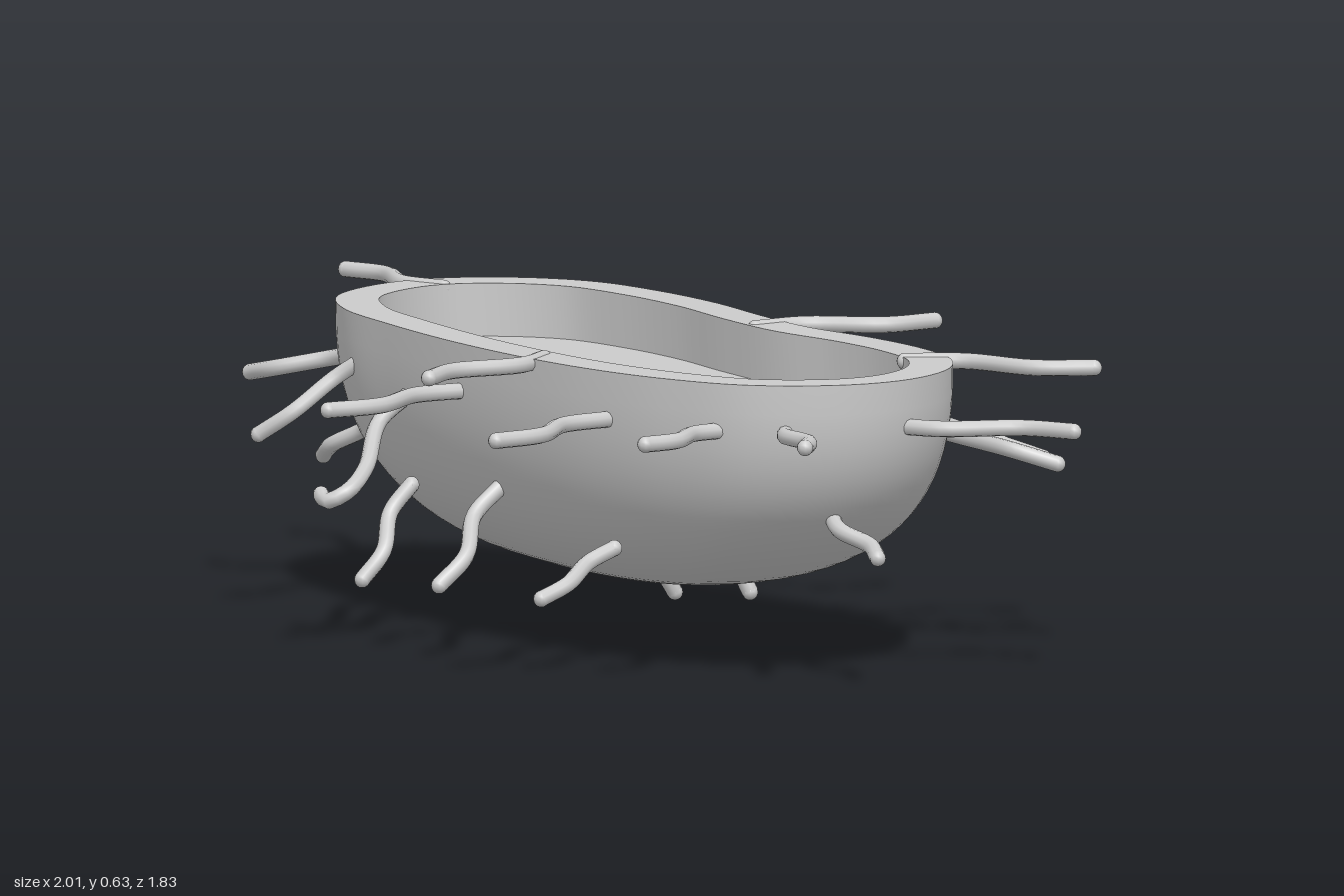
import * as THREE from 'three';

const material = new THREE.MeshStandardMaterial({ color: 0xcccccc });
const SEGMENTS = 120, RIM_Y = 0.63, FLOOR_Y = 0.52, BASE_Y = 0.13, RIM_WIDTH = 0.09;
const CENTER = [-0.05, -0.05];

// Bean-shaped outline, as x, z pairs
const OUTLINE = [
  [-0.48, -0.74], [-0.32, -0.72], [-0.16, -0.62], [0, -0.475], [0.14, -0.31], [0.27, -0.175],
  [0.43, -0.06], [0.565, 0.065], [0.66, 0.2], [0.69, 0.36], [0.645, 0.52], [0.54, 0.625],
  [0.35, 0.675], [0.165, 0.625], [-0.025, 0.52], [-0.21, 0.375], [-0.4, 0.19],
  [-0.585, -0.025], [-0.72, -0.21], [-0.78, -0.4], [-0.735, -0.58], [-0.64, -0.69],
];
const outline = new THREE.CatmullRomCurve3(OUTLINE.map(([x, z]) => new THREE.Vector3(x, 0, z)), true);

// Outline ring at height y, moved inward by inset and scaled toward the centre
function ring(y, inset = 0, scale = 1) {
  return Array.from({ length: SEGMENTS }, (_, i) => {
    const p = outline.getPointAt(i / SEGMENTS), t = outline.getTangentAt(i / SEGMENTS);
    const x = p.x - t.z * inset, z = p.z + t.x * inset;
    return [CENTER[0] + (x - CENTER[0]) * scale, y, CENTER[1] + (z - CENTER[1]) * scale];
  });
}

// Smooth skin over a stack of closed rings
function loft(name, rings) {
  const index = [];
  for (let r = 0; r < rings.length - 1; r++) {
    for (let i = 0; i < SEGMENTS; i++) {
      const a = r * SEGMENTS + i, b = r * SEGMENTS + (i + 1) % SEGMENTS;
      index.push(a, b, a + SEGMENTS, b, b + SEGMENTS, a + SEGMENTS);
    }
  }
  const geometry = new THREE.BufferGeometry();
  geometry.setAttribute('position', new THREE.Float32BufferAttribute(rings.flat(2), 3));
  geometry.setIndex(index);
  geometry.computeVertexNormals();
  const mesh = new THREE.Mesh(geometry, material);
  mesh.name = name;
  return mesh;
}

// Round-ended tube through points
function tube(name, points) {
  const radius = 0.017, group = new THREE.Group();
  group.name = name;
  const stem = new THREE.Mesh(
    new THREE.TubeGeometry(new THREE.CatmullRomCurve3(points), 20, radius, 10), material);
  stem.name = 'hairStem';
  group.add(stem);
  for (const end of [points[0], points[points.length - 1]]) {
    const cap = new THREE.Mesh(new THREE.SphereGeometry(radius, 10, 8), material);
    cap.name = 'hairEnd';
    cap.position.copy(end);
    group.add(cap);
  }
  return group;
}

// Hair with a sideways S-bend in proportion to its length
function wavyHair(name, root, tip, bend) {
  const along = tip.clone().sub(root);
  const side = new THREE.Vector3(-along.z, 0, along.x).setLength(along.length() * bend);
  const at = (t, k) => root.clone().addScaledVector(along, t).addScaledVector(side, k);
  return tube(name, [root, at(0.3, 1), at(0.7, -1), tip]);
}

// Level hairs, a row per height: root x, z, tip x, z
const LEVEL_ROWS = [
  { name: 'rimHair', y: 0.62, bend: -0.075, hairs: [
    [-0.61, -0.62, -0.87, -0.84], [-0.17, 0.32, -0.33, 0.66],
    [0.15, -0.2, 0.48, -0.4], [0.56, 0.19, 0.96, 0.19],
  ] },
  { name: 'sideHair', y: 0.53, bend: 0.07, hairs: [
    [0.6, 0.49, 0.99, 0.49], [0.42, 0.62, 0.51, 0.85], [0.29, 0.64, 0.18, 0.88],
    [0.02, 0.54, -0.13, 0.9], [-0.36, 0.2, -0.57, 0.55], [-0.37, -0.66, -0.32, -0.85],
  ] },
];

// Drooping hairs: root x, y, z, tip x, y, z
const DROOPING = [
  // right-hand end
  [-0.74, 0.51, -0.4, -0.99, 0.45, -0.5], [-0.66, 0.54, -0.18, -0.875, 0.38, -0.1],
  [-0.7, 0.38, -0.38, -0.84, 0.28, -0.52], [-0.64, 0.38, -0.6, -0.67, 0.39, -0.9],
  // front flank
  [-0.53, 0.3, -0.01, -0.6, 0.12, 0.13], [-0.28, 0.34, 0.24, -0.36, 0.16, 0.45],
  [0.01, 0.25, 0.45, -0.11, 0.16, 0.59], [0.49, 0.34, 0.53, 0.62, 0.28, 0.67],
  // belly
  [-0.13, 0.24, -0.42, -0.1, 0.02, -0.53], [0.05, 0.25, -0.31, 0.1, 0.05, -0.36],
  // back flank
  [0.4, 0.52, -0.02, 0.74, 0.36, -0.28], [0.52, 0.49, 0.1, 0.82, 0.38, -0.07],
  [0.22, 0.39, -0.13, 0.39, 0.3, -0.29], [0.07, 0.55, -0.32, 0.21, 0.46, -0.54],
  [-0.04, 0.45, -0.47, 0.075, 0.26, -0.74], [-0.2, 0.53, -0.58, -0.06, 0.42, -0.82],
];

export function createModel() {
  const model = new THREE.Group();
  model.name = 'openCell';

  // Rounded outer shell following a superellipse down to the belly
  const shellRings = [], power = 2 / 2.6;
  for (let i = 0; i <= 24; i++) {
    const a = (i / 24) * Math.PI / 2;
    const scale = Math.max(Math.cos(a), 1e-5) ** power;
    shellRings.push(ring(RIM_Y - (RIM_Y - BASE_Y) * Math.sin(a) ** power, 0, scale));
  }
  model.add(loft('outerShell', shellRings));

  // Flat rim, cavity wall and floor
  model.add(loft('rim', [ring(RIM_Y, RIM_WIDTH), ring(RIM_Y)]));
  model.add(loft('cavityWall', [ring(FLOOR_Y, RIM_WIDTH), ring(RIM_Y, RIM_WIDTH)]));
  model.add(loft('cavityFloor', [ring(FLOOR_Y, RIM_WIDTH, 1e-4), ring(FLOOR_Y, RIM_WIDTH)]));

  // Hairs around the body
  for (const { name, y, bend, hairs } of LEVEL_ROWS) {
    hairs.forEach(([x0, z0, x1, z1], i) => model.add(wavyHair(
      name + (i + 1), new THREE.Vector3(x0, y, z0), new THREE.Vector3(x1, y, z1), bend)));
  }
  DROOPING.forEach((h, i) => model.add(wavyHair(
    'droopingHair' + (i + 1), new THREE.Vector3(...h.slice(0, 3)), new THREE.Vector3(...h.slice(3)), 0.07)));

  // One hair with a hooked tip
  model.add(tube('hookedHair', [
    [-0.53, 0.49, 0.02], [-0.58, 0.44, 0.06], [-0.58, 0.36, 0.18],
    [-0.6, 0.32, 0.26], [-0.64, 0.3, 0.27], [-0.66, 0.31, 0.24],
  ].map((p) => new THREE.Vector3(...p))));

  return model;
}
